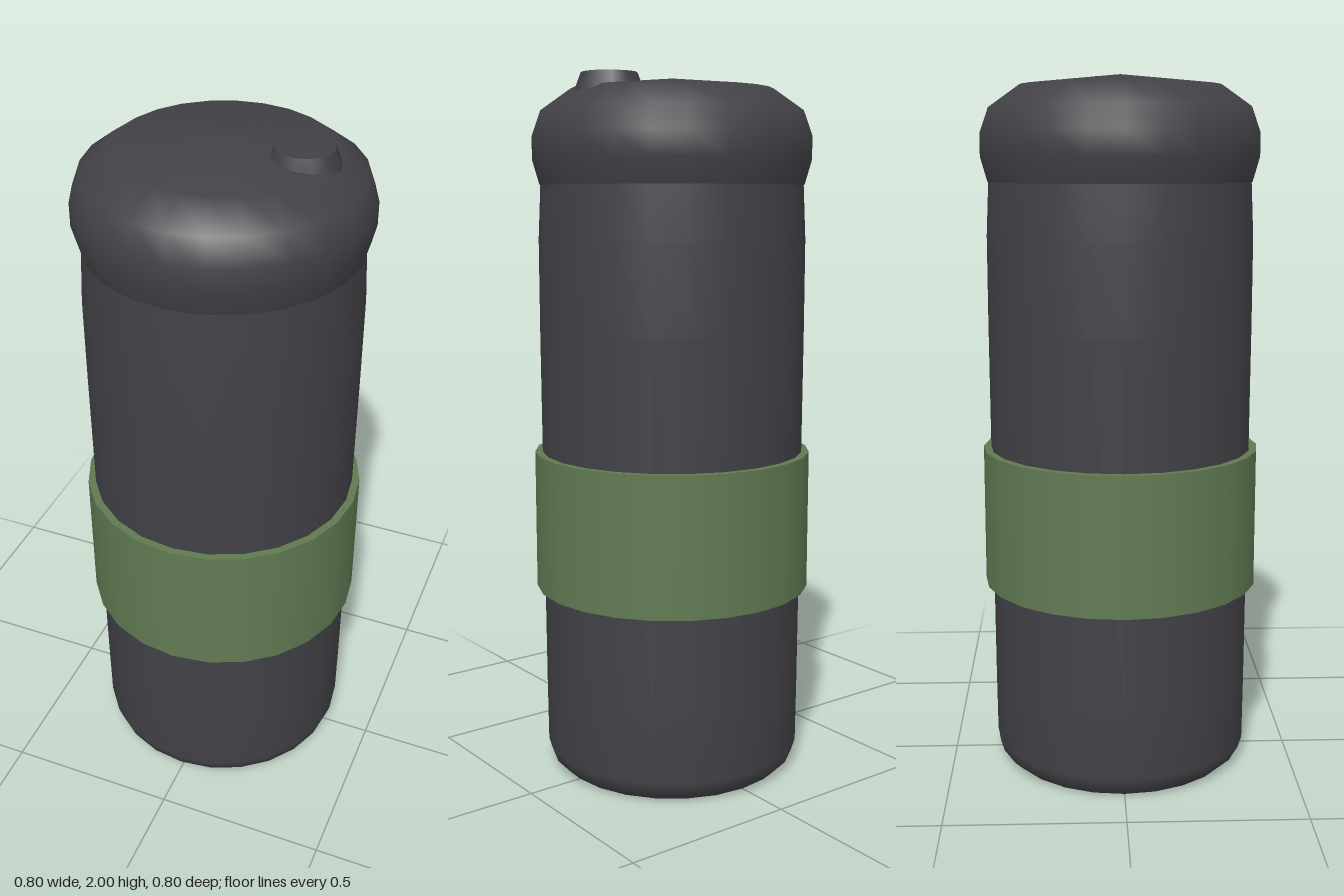
import * as THREE from 'three';

export function createModel() {
  const model = new THREE.Group();
  const charcoal = new THREE.MeshStandardMaterial({ color: 0x424146 });
  charcoal.name = 'charcoal';
  const green = new THREE.MeshStandardMaterial({ color: 0x607a52 });
  green.name = 'green';

  // Each profile is turned separately, so edges between profiles stay sharp
  function turned(name, material, segments, profiles) {
    const part = new THREE.Group();
    part.name = name;
    profiles.forEach((profile, i) => {
      const points = profile.map(([r, y]) => new THREE.Vector2(r, y));
      const mesh = new THREE.Mesh(new THREE.LatheGeometry(points, segments), material);
      mesh.name = `${name}Surface${i + 1}`;
      part.add(mesh);
    });
    model.add(part);
    return part;
  }

  // Slightly widening flask with a rounded foot and flat base
  turned('body', charcoal, 24, [
    [[0, 0], [0.335, 0]],
    [[0.335, 0], [0.362, 0.025], [0.373, 0.06], [0.375, 0.25], [0.38, 1.3], [0.38, 1.55], [0.372, 1.72]],
  ]);

  // Grip sleeve: lower rim, outside, upper rim, inside
  turned('sleeve', green, 24, [
    [[0.37, 0.54], [0.4, 0.54]],
    [[0.4, 0.54], [0.4, 0.94]],
    [[0.4, 0.94], [0.37, 0.94]],
  ]);

  // Domed lid with a bulging rim
  turned('lid', charcoal, 24, [
    [[0.36, 1.7], [0.375, 1.7]],
    [[0.375, 1.7], [0.395, 1.77], [0.395, 1.835], [0.37, 1.905], [0.285, 1.965], [0, 1.995]],
  ]);

  // Off-centre drinking spout
  const spout = turned('spout', charcoal, 12, [
    [[0.096, 1.945], [0.088, 1.972], [0.077, 2]],
    [[0.077, 2], [0, 2]],
  ]);
  spout.position.x = 0.213;

  return model;
}
